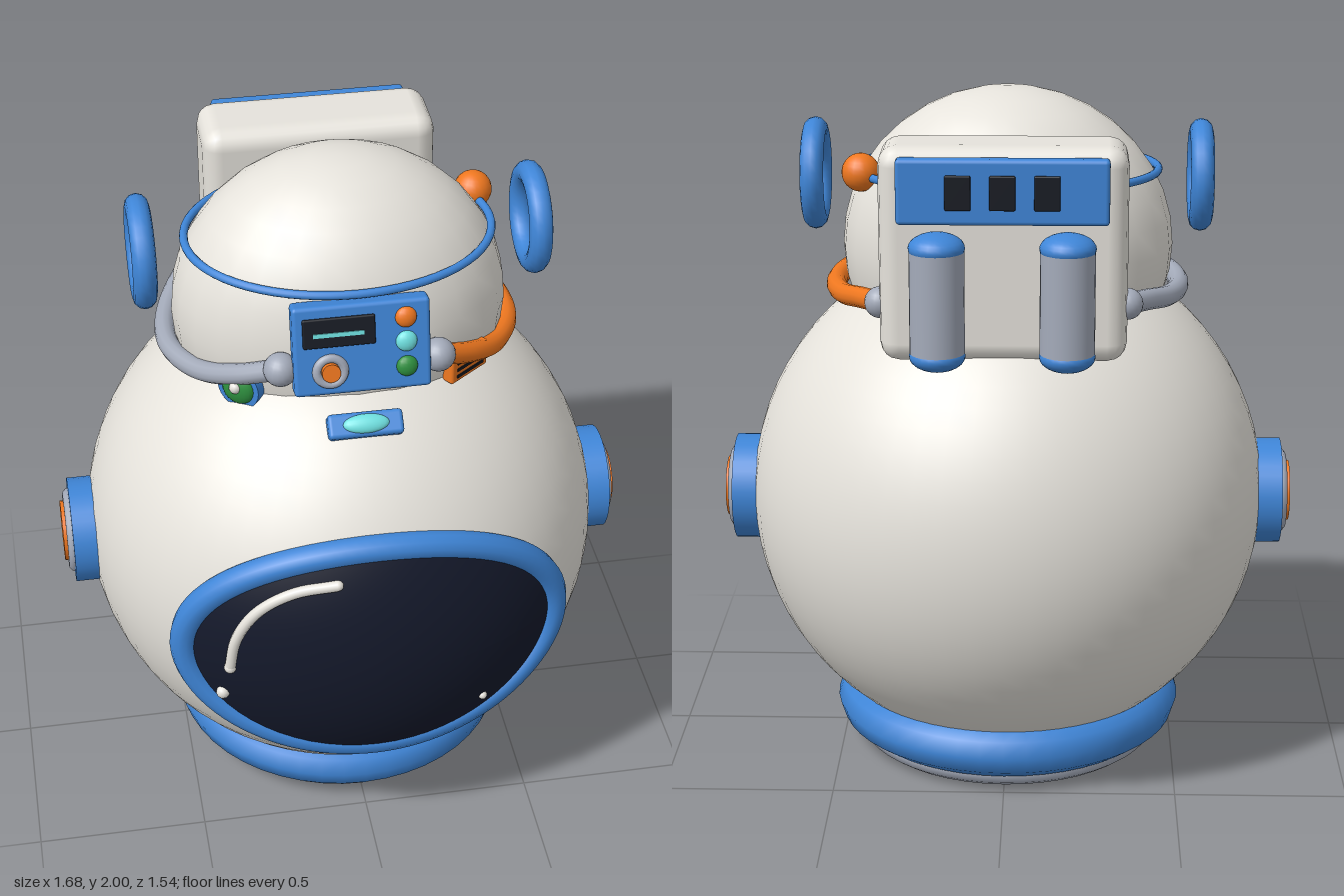
import * as THREE from 'three';
import { RoundedBoxGeometry } from 'three/addons/geometries/RoundedBoxGeometry.js';

const mat = (color) => new THREE.MeshStandardMaterial({ color });
const WHITE = mat(0xe6e3dc), BLUE = mat(0x3f86d8), ORANGE = mat(0xf07820), GREY = mat(0xa4abba);
const DARK = mat(0x14192b), TEAL = mat(0x6fe0e0), GREEN = mat(0x2f9140), BLACK = mat(0x181c24);
const V = (x, y, z) => new THREE.Vector3(x, y, z);
const MID = -0.02; // z of the vertical axis
const CY = 0.78; // height of the body centre

export function createModel() {
  const root = new THREE.Group();
  root.name = 'spaceHelmet';

  const add = (name, geo, material, pos = [0, 0, 0], parent = root) => {
    const m = new THREE.Mesh(geo, material);
    m.name = name;
    m.position.set(...pos);
    parent.add(m);
    return m;
  };
  const group = (name, pos, rot = [0, 0, 0], parent = root) => {
    const g = new THREE.Group();
    g.name = name;
    g.position.set(...pos);
    g.rotation.set(...rot);
    parent.add(g);
    return g;
  };
  const ball = (r, w = 20, h = 14) => new THREE.SphereGeometry(r, w, h);
  const box = (w, h, d, r = 0.012) => new RoundedBoxGeometry(w, h, d, 2, r);
  const tube = (pts, r, closed = false, n = 48) =>
    new THREE.TubeGeometry(new THREE.CatmullRomCurve3(pts, closed), n, r, 12, closed);
  const discZ = (r, d, n = 24) => new THREE.CylinderGeometry(r, r, d, n).rotateX(Math.PI / 2);
  const ellipse = (n, fn) => Array.from({ length: n }, (_, i) => {
    const a = (i / n) * Math.PI * 2;
    return fn(Math.cos(a), Math.sin(a));
  });

  // Body and upper dome
  add('body', ball(0.762, 56, 36), WHITE, [0, CY, -0.01]);
  add('dome', ball(1, 28, 18).scale(0.48, 0.46, 0.38), WHITE, [0, 1.54, MID]);
  add('domeBand', tube(ellipse(32, (c, s) => V(0.435 * c, 0, 0.343 * s)), 0.012, true, 64), BLUE, [0, 1.762, MID]);

  // Neck rings
  add('neckRing', new THREE.TorusGeometry(0.44, 0.082, 10, 48).rotateX(Math.PI / 2), BLUE, [0, 0.125, MID]);
  add('neckSeal', new THREE.TorusGeometry(0.415, 0.042, 10, 48).rotateX(Math.PI / 2), GREY, [0, 0.042, MID]);

  // Visor: an elliptical patch of a sphere just outside the body
  const onVisor = (x, y, lift = 0) => V(x, y + CY, Math.sqrt(0.781 ** 2 - x * x - y * y) - 0.012 + lift);
  const visorGeo = new THREE.RingGeometry(0, 1, 64, 14);
  const p = visorGeo.attributes.position;
  for (let i = 0; i < p.count; i++) {
    const v = onVisor(p.getX(i) * 0.54, p.getY(i) * 0.36);
    p.setXYZ(i, v.x, v.y, v.z);
  }
  visorGeo.computeVertexNormals();
  add('visor', visorGeo, DARK);
  add('visorRim', tube(ellipse(40, (c, s) => V(0.537 * c, CY + 0.36 * s, 0.54 + 0.11 * s * s)), 0.042, true, 96), BLUE);

  // Visor glints
  const glint = [[-0.42, -0.02], [-0.4, 0.09], [-0.34, 0.19], [-0.24, 0.26], [-0.12, 0.288]];
  add('glint', tube(glint.map(([x, y]) => onVisor(x, y)), 0.016, false, 24), WHITE);
  for (const [x, y, r] of [[-0.42, -0.02, 0.018], [-0.12, 0.288, 0.015], [-0.44, -0.135, 0.02], [0.31, -0.215, 0.013]])
    add('glintDot', ball(r, 12, 8), WHITE, onVisor(x, y).toArray());

  // Side ports, loops and hoses, mirrored
  for (const s of [1, -1]) {
    const side = s > 0 ? 'left' : 'right';
    const port = group(side + 'Port', [s * 0.82, CY, MID], [0, s * Math.PI / 2, 0]);
    add('portBase', discZ(0.157, 0.13, 32), BLUE, [0, 0, -0.07], port);
    add('portRing', new THREE.TorusGeometry(0.107, 0.02, 10, 32), GREY, [0, 0, -0.007], port);
    add('portButton', discZ(0.09, 0.05, 28), ORANGE, [0, 0, -0.003], port);

    add(side + 'Loop', new THREE.TorusGeometry(0.128, 0.034, 12, 32).rotateY(Math.PI / 2), BLUE, [s * 0.557, 1.743, MID]);

    const hose = [[0.22, 1.555, 0.345], [0.33, 1.5, 0.27], [0.42, 1.455, 0.17], [0.487, 1.437, 0.03],
      [0.495, 1.433, -0.1], [0.46, 1.44, -0.24], [0.4, 1.46, -0.36], [0.34, 1.475, -0.465]];
    const pts = hose.map(([x, y, z]) => V(s * x, y, z));
    add(side + 'Hose', tube(pts, 0.03), s > 0 ? ORANGE : GREY);
    add('hoseJointFront', ball(0.048), GREY, pts[0].toArray());
    add('hoseJointBack', ball(0.044), GREY, pts[7].toArray());
  }
  add('beacon', ball(0.055), ORANGE, [0.415, 1.772, -0.15]);

  // Front control panel
  const panel = group('controlPanel', [0, 1.62, 0.355], [-0.22, 0, 0]);
  add('panelBox', box(0.38, 0.26, 0.06), BLUE, [0, 0, 0], panel);
  add('screen', box(0.2, 0.085, 0.014, 0.005), BLACK, [-0.063, 0.055, 0.03], panel);
  add('screenBar', new THREE.BoxGeometry(0.14, 0.012, 0.006), TEAL, [-0.065, 0.05, 0.037], panel);
  [[ORANGE, 0.08], [TEAL, 0.01], [GREEN, -0.063]].forEach(([m, y]) =>
    add('panelButton', ball(0.03, 16, 10).scale(1, 1, 0.6), m, [0.122, y, 0.03], panel));
  add('dialRing', new THREE.TorusGeometry(0.038, 0.013, 8, 24), GREY, [-0.09, -0.058, 0.032], panel);
  add('dialKnob', discZ(0.026, 0.03), ORANGE, [-0.09, -0.058, 0.035], panel);

  // Small lamp below the panel
  const lamp = group('lamp', [0, 1.403, 0.432], [-Math.PI / 4, 0, 0]);
  add('lampBox', box(0.21, 0.07, 0.055), BLUE, [0, 0, 0], lamp);
  add('lampLens', ball(1, 20, 12).scale(0.065, 0.027, 0.017), TEAL, [0, 0, 0.027], lamp);

  // Round badge and slotted vent on the lower dome
  const badge = group('badge', [-0.315, 1.455, 0.255], [0, -0.65, 0]);
  add('badgeBase', discZ(0.065, 0.05), BLUE, [0, 0, 0], badge);
  add('badgeLens', ball(0.05, 20, 12).scale(1, 1, 0.5), GREEN, [0, 0, 0.022], badge);
  add('badgeDot', ball(0.018, 10, 8), WHITE, [0, 0.012, 0.04], badge);
  const vent = group('vent', [0.315, 1.468, 0.26], [0, 0.65, 0]);
  add('ventFrame', box(0.15, 0.085, 0.04, 0.008), ORANGE, [0, 0, 0], vent);
  for (const y of [-0.022, 0, 0.022])
    add('ventSlot', new THREE.BoxGeometry(0.11, 0.009, 0.006), BLACK, [0, y, 0.02], vent);

  // Backpack with rear panel and twin tanks
  const pack = group('backpack', [0, 1.62, -0.425]);
  add('packBox', new RoundedBoxGeometry(0.68, 0.6, 0.24, 2, 0.055), WHITE, [0, 0, 0], pack);
  add('rearPanel', box(0.575, 0.18, 0.045), BLUE, [0, 0.187, -0.133], pack);
  for (const x of [-0.12, 0, 0.12])
    add('rearWindow', box(0.07, 0.095, 0.012, 0.004), BLACK, [x, 0.187, -0.156], pack);
  for (const x of [-0.176, 0.176]) {
    const tank = group('tank', [x, -0.107, -0.18], [0, 0, 0], pack);
    add('tankBody', new THREE.CylinderGeometry(0.075, 0.075, 0.3, 24), GREY, [0, 0, 0], tank);
    for (const s of [1, -1])
      add('tankCap', ball(1, 24, 14).scale(0.077, 0.042, 0.077), BLUE, [0, s * 0.15, 0], tank);
  }
  return root;
}
